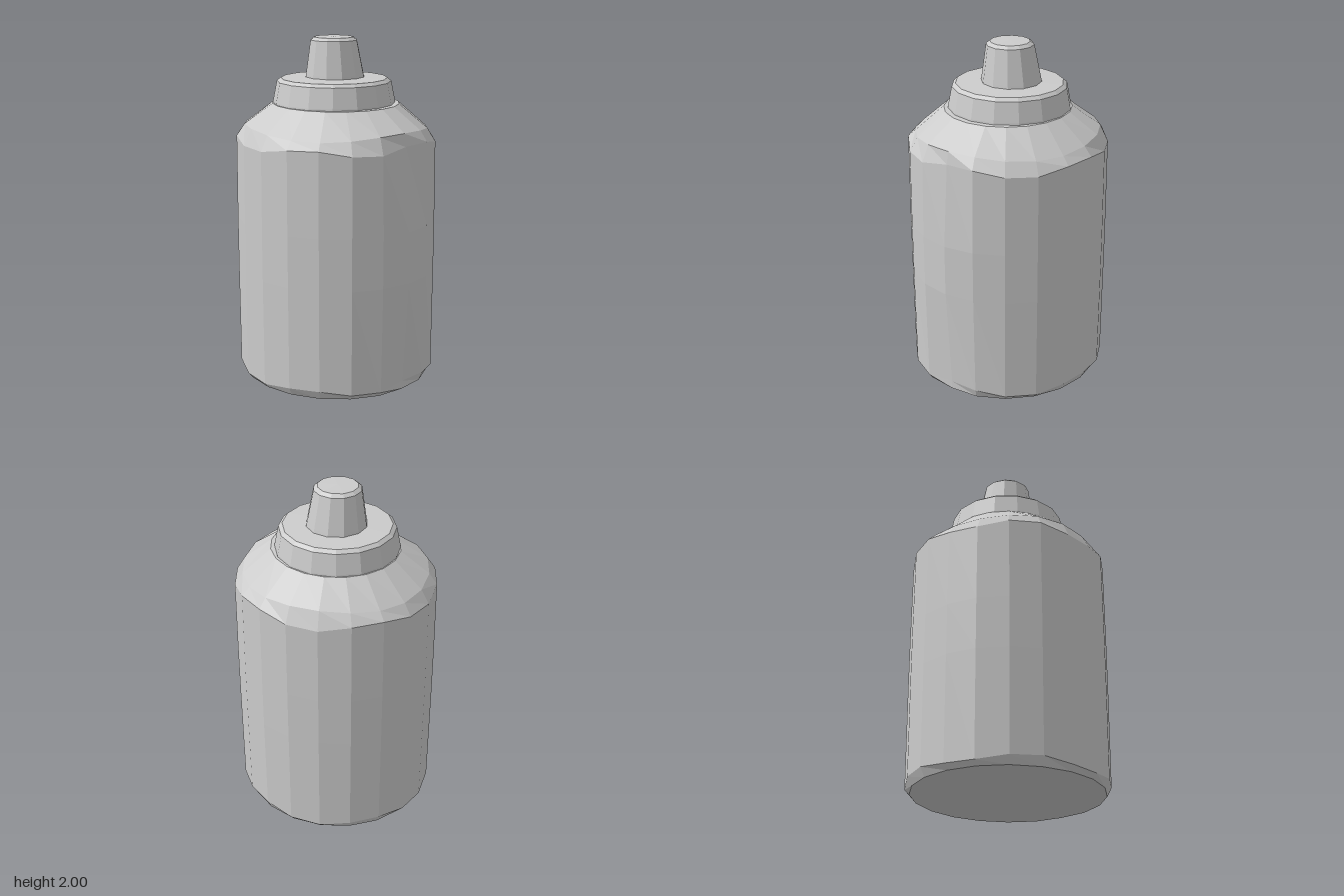
import * as THREE from 'three';

const material = new THREE.MeshStandardMaterial({ color: 0xcccccc, flatShading: true });

// Faceted turned part; profile runs bottom to top as [radius, height].
function turned(name, profile, sides, reshape) {
  const geo = new THREE.LatheGeometry(profile.map(([r, y]) => new THREE.Vector2(r, y)), sides);
  const pos = geo.attributes.position;
  const v = new THREE.Vector3();
  for (let i = 0; i < pos.count; i++) {
    v.fromBufferAttribute(pos, i);
    if (reshape) reshape(v);
    pos.setXYZ(i, v.x, v.y, v.z);
  }
  geo.computeVertexNormals();
  const mesh = new THREE.Mesh(geo, material);
  mesh.name = name;
  return mesh;
}

export function createModel() {
  const group = new THREE.Group();
  group.name = 'bottle';

  // Body: slightly worn rims, and a front that swells at mid height
  const body = turned('body', [
    [0, 0], [0.555, 0], [0.582, 0.04], [0.585, 0.65], [0.585, 0.95],
    [0.582, 1.42], [0.535, 1.49], [0.37, 1.62], [0, 1.62],
  ], 20, (v) => {
    const angle = Math.atan2(v.x, v.z);
    const wobble = Math.sin(angle * 5 + 0.6);
    const middle = v.y > 0.6 && v.y < 1;
    if (Math.abs(v.y - 0.04) < 0.01) v.y += 0.015 * wobble;
    if (Math.abs(v.y - 1.42) < 0.01) v.y += 0.02 * wobble;
    if (Math.abs(v.y - 1.49) < 0.01) v.y += 0.015 * Math.cos(angle * 3);
    v.x *= 0.985;
    v.z *= 1.015;
    if (!middle && v.z > 0.555) v.z = 0.555;
  });
  group.add(body);

  // Collar: tapered ring with a softened top edge
  const collar = turned('collar', [
    [0.358, 1.6], [0.355, 1.63], [0.332, 1.745], [0.31, 1.763], [0, 1.775],
  ], 16);
  collar.position.z = -0.015;
  group.add(collar);

  // Nozzle: tapered spout with a small bevel on top
  const nozzle = turned('nozzle', [
    [0.175, 1.76], [0.171, 1.785], [0.137, 1.98], [0.115, 1.997], [0, 2],
  ], 12, (v) => { v.x += 0.01 * (2 - v.y) / 0.23; });
  nozzle.position.z = -0.018;
  group.add(nozzle);

  return group;
}
